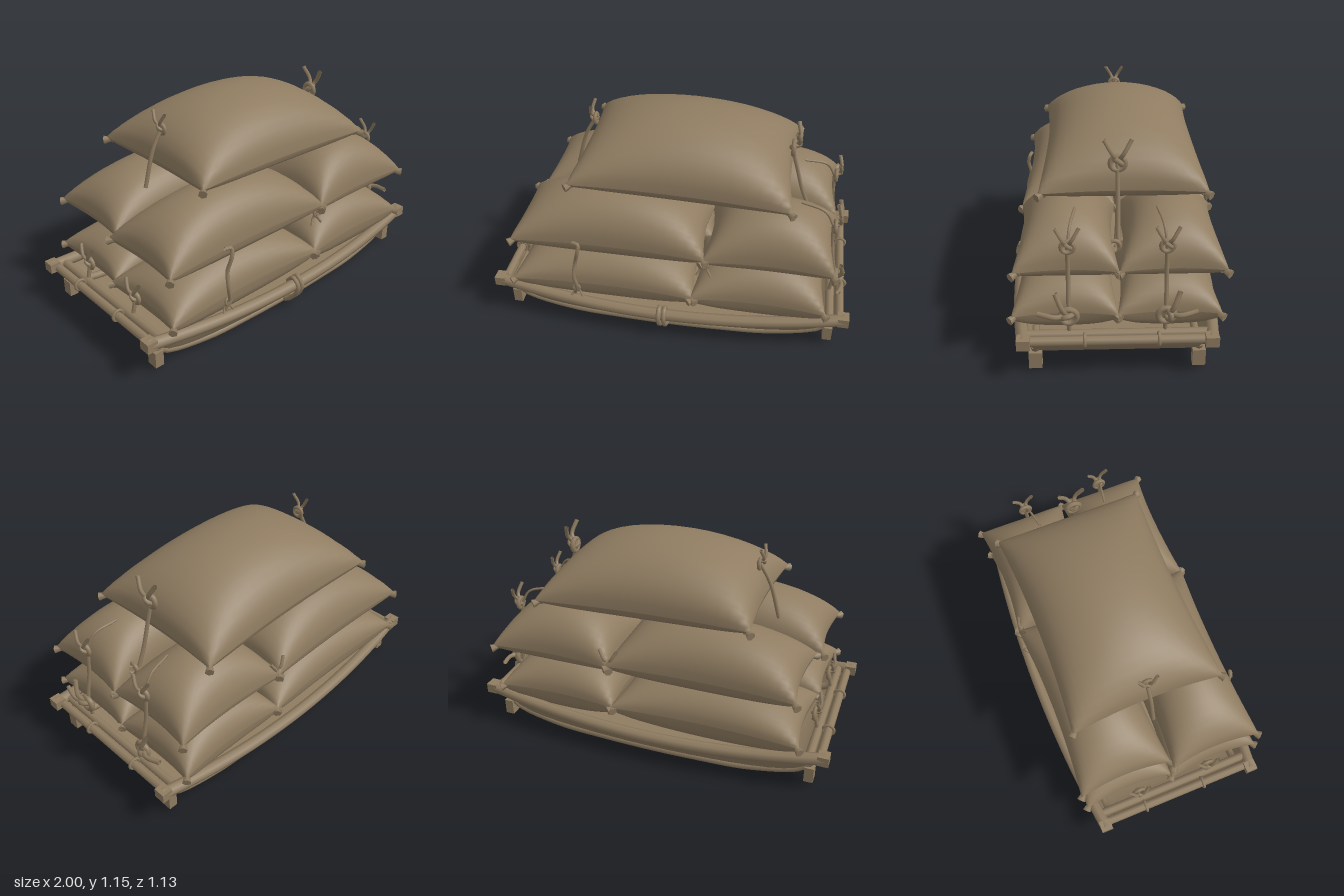
import * as THREE from 'three';
import { toCreasedNormals } from 'three/addons/utils/BufferGeometryUtils.js';

const burlap = new THREE.MeshStandardMaterial({ color: 0x8f7c61, side: THREE.DoubleSide });
burlap.name = 'dusty brown';

const V = (x, y, z) => new THREE.Vector3(x, y, z);

function add(parent, geometry, name, x = 0, y = 0, z = 0) {
  const mesh = new THREE.Mesh(geometry, burlap);
  mesh.name = name;
  mesh.position.set(x, y, z);
  parent.add(mesh);
  return mesh;
}

function tube(parent, name, points, radius, sides = 6, steps = points.length * 5) {
  const curve = new THREE.CatmullRomCurve3(points.map(p => V(...p)));
  return add(parent, new THREE.TubeGeometry(curve, steps, radius, sides), name);
}

// Hull dimensions at s = -1..1 along the length
const bottomY = s => 0.015 + 0.03 * s * s + 0.16 * Math.abs(s) ** 12;
const bottomZ = s => 0.4 + 0.04 * (1 - s * s);
const railY = s => 0.155 + 0.06 * s * s;
const railZ = s => 0.455 + 0.07 * (1 - s * s);

// Shallow sled body with upturned ends and flared sides
function hullGeometry() {
  const g = new THREE.PlaneGeometry(2, 2, 24, 10);
  const p = g.attributes.position;
  for (let i = 0; i < p.count; i++) {
    const s = Math.sin(p.getX(i) * Math.PI / 2), w = p.getY(i), a = Math.abs(w);
    const k = Math.max(0, (a - 0.6) / 0.4);
    const z = a <= 0.6 ? a / 0.6 * bottomZ(s) : THREE.MathUtils.lerp(bottomZ(s), railZ(s), k ** 0.7);
    p.setXYZ(i, s * 0.96, THREE.MathUtils.lerp(bottomY(s), railY(s), k), Math.sign(w) * z);
  }
  return toCreasedNormals(g, 0.6);
}

function sled() {
  const g = new THREE.Group();
  g.name = 'sled';
  add(g, hullGeometry(), 'hull');
  const stations = [-1, -0.75, -0.5, -0.25, 0, 0.25, 0.5, 0.75, 1];
  for (const side of [1, -1]) {
    tube(g, 'sideRail', stations.map(s => [s * 0.98, railY(s), side * railZ(s)]), 0.033, 8, 24);
    tube(g, 'runner', [-0.97, -0.9, -0.6, -0.3, 0, 0.3, 0.6, 0.9, 0.97]
      .map(s => [s * 0.95, bottomY(s) + 0.008, side * bottomZ(s)]), 0.022, 8, 32);
    for (const end of [1, -1]) {
      add(g, new THREE.BoxGeometry(0.06, 0.055, 0.065), 'railEnd', end * 0.97, 0.215, side * 0.455);
      add(g, new THREE.BoxGeometry(0.05, 0.09, 0.065), 'runnerEnd', end * 0.9, 0.07, side * 0.405);
    }
  }
  // Cross bars with lashing rings at both ends
  for (const end of [1, -1]) {
    for (const x of [0.95, 0.895]) {
      const bar = add(g, new THREE.CylinderGeometry(0.024, 0.024, 0.9, 8), 'crossBar', end * x, 0.205, 0);
      bar.rotation.x = Math.PI / 2;
    }
    for (const z of [0.16, -0.2]) add(g, new THREE.TorusGeometry(0.03, 0.009, 6, 12), 'lashing', end * 0.95, 0.21, z);
  }
  // Double rope wrapped round the front rail
  for (const x of [-0.035, -0.005]) {
    tube(g, 'railRope', [[x, 0.16, 0.48], [x, 0.2, 0.52], [x, 0.16, 0.56], [x, 0.09, 0.535],
      [x, 0.03, 0.47], [x, 0.012, 0.4]], 0.013);
  }
  return g;
}

// Stuffed sack: two bulging sheets joined at a pinched rectangular seam
function sack(name, [x0, x1], [z0, z1], seam, up, down, tilt = 0) {
  const g = new THREE.Group();
  g.name = name;
  g.position.set((x0 + x1) / 2, seam, (z0 + z1) / 2);
  g.rotation.z = tilt;
  const hx = (x1 - x0) / 2, hz = (z1 - z0) / 2;
  for (const [height, power, turn] of [[up, 0.44, -1], [-down, 0.36, 1]]) {
    const sheet = new THREE.PlaneGeometry(2, 2, 20, 20).rotateX(turn * Math.PI / 2);
    const p = sheet.attributes.position;
    for (let i = 0; i < p.count; i++) {
      const u = Math.sin(p.getX(i) * Math.PI / 2), v = Math.sin(p.getZ(i) * Math.PI / 2);
      const puff = Math.max(0, (1 - u * u) * (1 - v * v)) ** power;
      p.setXYZ(i, u * (hx - 0.03 * (1 - v * v)), height * puff, v * (hz - 0.03 * (1 - u * u)));
    }
    sheet.computeVertexNormals();
    add(g, sheet, 'cloth');
  }
  // Tied ears at the corners
  for (const sx of [1, -1]) for (const sz of [1, -1]) {
    const out = V(sx, -0.25, sz).normalize();
    const ear = add(g, new THREE.CylinderGeometry(0.024, 0.011, 0.05, 6), 'cornerEar',
      sx * (hx - 0.01), -0.012, sz * (hz - 0.01));
    ear.quaternion.setFromUnitVectors(V(0, 1, 0), out);
    const ring = add(g, new THREE.TorusGeometry(0.015, 0.006, 5, 10), 'cornerTie',
      sx * (hx - 0.025), -0.008, sz * (hz - 0.025));
    ring.quaternion.setFromUnitVectors(V(0, 0, 1), out);
  }
  return g;
}

// Knot facing +x with two loose ends
function knot(x, y, z, size = 1, turn = 0, roll = 0) {
  const g = new THREE.Group();
  g.name = 'knot';
  const a = add(g, new THREE.TorusGeometry(0.03, 0.012, 6, 14), 'knotLoop');
  a.rotation.y = Math.PI / 2;
  const b = add(g, new THREE.TorusGeometry(0.02, 0.011, 6, 12), 'knotWrap', 0.008, 0.01, 0);
  b.rotation.set(0.9, 0.4, 0);
  for (const s of [1, -1]) {
    tube(g, 'looseEnd', [[0, 0.01, 0], [0.025, 0.045, s * 0.02], [0.012, 0.105, s * 0.055]], 0.01);
  }
  g.position.set(x, y, z);
  g.rotation.set(roll, turn, 0);
  g.scale.setScalar(size);
  return g;
}

export function createModel() {
  const model = new THREE.Group();
  model.name = 'loadedSled';
  model.add(sled());

  // Two rows of two sacks on each layer, one on top
  model.add(
    sack('lowerFrontLongSack', [-0.87, 0.16], [-0.01, 0.52], 0.29, 0.19, 0.17),
    sack('lowerFrontShortSack', [0.13, 0.87], [-0.01, 0.52], 0.29, 0.2, 0.17),
    sack('lowerBackLongSack', [-0.85, 0.2], [-0.52, 0], 0.29, 0.18, 0.17),
    sack('lowerBackShortSack', [0.18, 0.87], [-0.52, 0], 0.29, 0.19, 0.17),
    sack('middleFrontLongSack', [-0.86, 0.21], [-0.01, 0.5], 0.56, 0.25, 0.12),
    sack('middleFrontShortSack', [0.19, 0.89], [-0.01, 0.5], 0.55, 0.25, 0.09),
    sack('middleBackLongSack', [-0.82, 0.21], [-0.53, -0.01], 0.56, 0.24, 0.12),
    sack('middleBackShortSack', [0.19, 0.89], [-0.53, -0.01], 0.55, 0.24, 0.09),
    sack('topSack', [-0.55, 0.64], [-0.46, 0.38], 0.86, 0.295, 0.1, -0.03),
  );

  // Ropes hanging down the left end
  for (const z of [0.235, -0.235]) {
    tube(model, 'endRope', [[0.89, 0.22, z], [0.9, 0.35, z], [0.87, 0.52, z], [0.86, 0.68, z]], 0.011);
    tube(model, 'endRopeTail', [[0.86, 0.68, z], [0.81, 0.76, z * 0.95], [0.68, 0.79, z * 0.85]], 0.007);
    model.add(knot(0.87, 0.68, z), knot(0.91, 0.32, z, 1.3, 0, z > 0 ? 0.9 : -0.9));
    // Small knots low at the right end
    model.add(knot(-0.87, 0.31, z * 0.9, 1, Math.PI));
    tube(model, 'shortRope', [[-0.87, 0.31, z * 0.9], [-0.89, 0.22, z * 0.9]], 0.011);
  }

  // Ropes holding the top sack
  tube(model, 'topRopeLeft', [[0.6, 1, -0.01], [0.64, 0.86, -0.01], [0.68, 0.72, -0.01], [0.72, 0.62, -0.01]], 0.011);
  tube(model, 'topRopeRight', [[-0.47, 1.07, -0.03], [-0.54, 0.95, -0.03], [-0.6, 0.75, -0.03]], 0.011);
  model.add(knot(0.61, 0.99, -0.01, 1.2), knot(0.74, 0.61, 0.01, 0.9, 0, 2.6),
    knot(-0.48, 1.05, -0.03, 0.9, Math.PI));

  // Slack rope on the front and ties in the valleys between sacks
  tube(model, 'frontRope', [[-0.51, 0.58, 0.49], [-0.475, 0.575, 0.5], [-0.48, 0.53, 0.51], [-0.5, 0.45, 0.5],
    [-0.51, 0.36, 0.52], [-0.5, 0.28, 0.515], [-0.52, 0.22, 0.5]], 0.011);
  model.add(knot(-0.505, 0.27, 0.51, 0.6, -Math.PI / 2, 3),
    knot(0.2, 0.5, 0.46, 0.7, -Math.PI / 2, 3), knot(0.2, 0.55, -0.49, 0.9, Math.PI / 2));
  return model;
}
